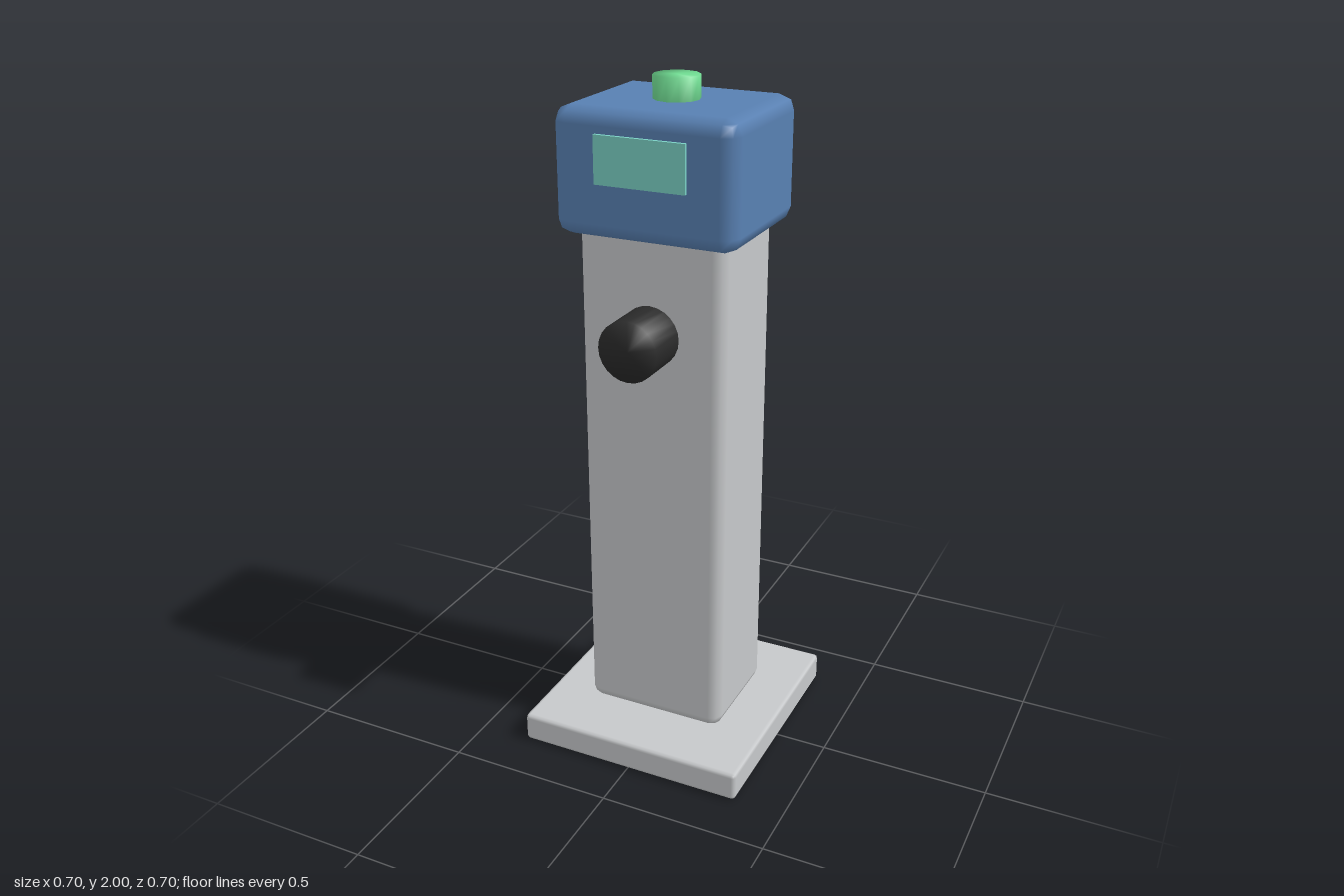
import * as THREE from 'three';
import { mergeVertices } from 'three/addons/utils/BufferGeometryUtils.js';
import { RoundedBoxGeometry } from 'three/addons/geometries/RoundedBoxGeometry.js';

const material = (name, color) => {
  const m = new THREE.MeshStandardMaterial({ color });
  m.name = name;
  return m;
};

// Cylinder whose normals blend softly over the rim
function softCylinder(radius, height, sides) {
  const g = new THREE.CylinderGeometry(radius, radius, height, sides);
  g.deleteAttribute('normal');
  g.deleteAttribute('uv');
  const merged = mergeVertices(g, 1e-4);
  merged.computeVertexNormals();
  return merged;
}

export function createModel() {
  const group = new THREE.Group();
  group.name = 'chargingPost';

  const grey = material('lightGrey', 0xc6c8ca);
  const blue = material('blue', 0x5880b2);
  const teal = material('screenTeal', 0x7ad0c4);
  const green = material('beaconGreen', 0x70dc92);
  const black = material('black', 0x2a2a2a);

  const add = (name, geometry, mat, x, y, z) => {
    const mesh = new THREE.Mesh(geometry, mat);
    mesh.name = name;
    mesh.position.set(x, y, z);
    group.add(mesh);
    return mesh;
  };

  // Box with one bevel ring, placed by its bottom and top
  const bevelBox = (name, mat, w, d, bottom, top, radius) =>
    add(name, new RoundedBoxGeometry(w, top - bottom, d, 1, radius), mat, 0, (bottom + top) / 2, 0);

  // Foot plate, column and head
  bevelBox('basePlate', grey, 0.7, 0.7, 0, 0.088, 0.012);
  bevelBox('column', grey, 0.436, 0.344, 0.088, 1.66, 0.035);
  bevelBox('head', blue, 0.53, 0.44, 1.588, 1.937, 0.044);

  // Display on the head
  add('screen', new THREE.BoxGeometry(0.262, 0.131, 0.02), teal, 0, 1.808, 0.22);

  // Socket on the front of the column
  const socket = add('socket', softCylinder(0.087, 0.175, 24), black, 0, 1.323, 0.2195);
  socket.rotation.x = Math.PI / 2;

  // Status light on top
  add('beacon', softCylinder(0.065, 0.087, 12), green, 0, 1.9565, 0);

  return group;
}
